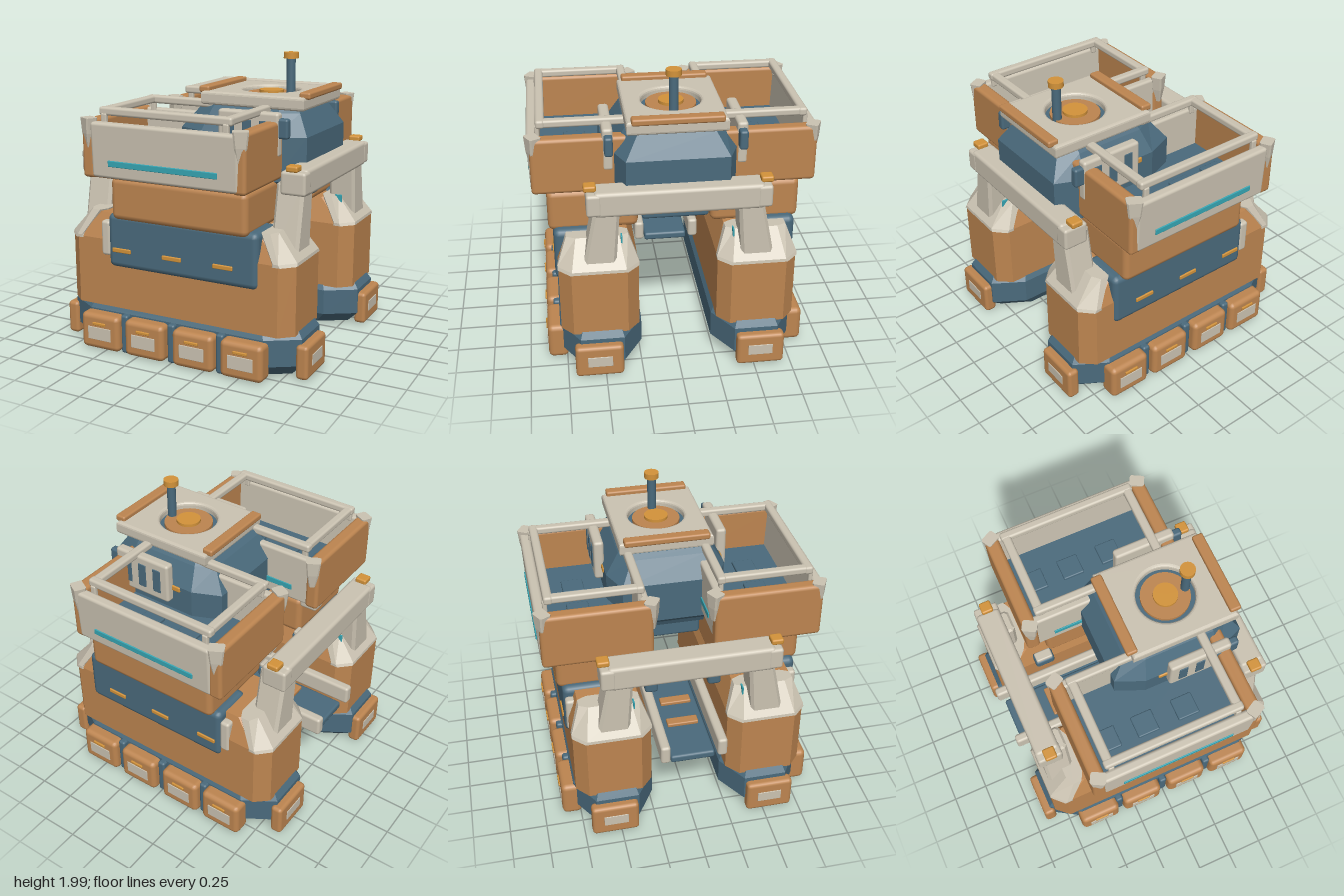
import * as THREE from 'three';
import { RoundedBoxGeometry } from 'three/addons/geometries/RoundedBoxGeometry.js';

const mat = (name, color, flat = false) => {
  const m = new THREE.MeshStandardMaterial({ color });
  m.name = name;
  m.flatShading = flat;
  return m;
};

// Stack of chamfered rectangles: [y, centreX, centreZ, halfX, halfZ, chamferX, chamferZ]
function loft(sections) {
  const pos = [], idx = [];
  for (const [y, cx, cz, hx, hz, a, b] of sections) {
    const ring = [[a - hx, hz], [hx - a, hz], [hx, hz - b], [hx, b - hz],
      [hx - a, -hz], [a - hx, -hz], [-hx, b - hz], [-hx, hz - b]];
    for (const [x, z] of ring) pos.push(cx + x, y, cz + z);
  }
  for (let i = 0; i < sections.length - 1; i++) {
    for (let j = 0; j < 8; j++) {
      const p = i * 8 + j, q = i * 8 + (j + 1) % 8;
      idx.push(p, q, q + 8, p, q + 8, p + 8);
    }
  }
  const t = (sections.length - 1) * 8;
  for (let j = 1; j < 7; j++) idx.push(t, t + j, t + j + 1, 0, j + 1, j);
  const g = new THREE.BufferGeometry();
  g.setAttribute('position', new THREE.Float32BufferAttribute(pos, 3));
  g.setIndex(idx);
  const flat = g.toNonIndexed();
  flat.computeVertexNormals();
  return flat;
}

export function createModel() {
  const root = new THREE.Group();
  root.name = 'twinHullMachine';
  const orange = mat('burntOrange', 0xbd8550);
  const blue = mat('slateBlue', 0x4a6a7c);
  const cream = mat('cream', 0xcbc3b2);
  const amber = mat('amber', 0xd3933a);
  const teal = mat('teal', 0x36a5b3);

  const add = (name, geo, m) => {
    const mesh = new THREE.Mesh(geo, m);
    mesh.name = name;
    root.add(mesh);
    return mesh;
  };
  // Rounded box from its bounds; z bounds are flipped when s = -1
  const box = (name, m, x0, x1, y0, y1, z0, z1, s = 1, r = 0.02) => {
    const w = x1 - x0, h = y1 - y0, d = z1 - z0;
    const rad = Math.min(r, Math.min(w, h, d) * 0.3);
    const mesh = add(name, new RoundedBoxGeometry(w, h, d, 2, rad), m);
    mesh.position.set((x0 + x1) / 2, (y0 + y1) / 2, s * (z0 + z1) / 2);
    return mesh;
  };
  const cyl = (name, m, x, y0, y1, r) => {
    const mesh = add(name, new THREE.CylinderGeometry(r, r, y1 - y0, 32), m);
    mesh.position.set(x, (y0 + y1) / 2, 0);
  };

  for (const s of [1, -1]) {
    // Hull: blue base, orange body
    const hz = s * 0.515;
    add('hullBase', loft([
      [0.02, 0, hz, 0.78, 0.23, 0.2, 0.12], [0.1, 0, hz, 0.86, 0.275, 0.21, 0.13],
      [0.28, 0, hz, 0.86, 0.275, 0.21, 0.13], [0.325, 0, hz, 0.83, 0.25, 0.2, 0.12]]), blue);
    const bz = s * 0.52;
    add('hullBody', loft([
      [0.31, 0, bz, 0.83, 0.26, 0.09, 0.08], [0.78, 0, bz, 0.83, 0.26, 0.09, 0.08],
      [0.95, 0, bz, 0.65, 0.2, 0.07, 0.06]]), orange);

    // Side panel with marker lights and step
    box('sidePanel', blue, -0.49, 0.61, 0.6, 0.97, 0.5, 0.8, s, 0.04);
    for (const x of [-0.38, 0, 0.37]) box('markerLight', amber, x - 0.07, x + 0.07, 0.71, 0.74, 0.79, 0.81, s);
    box('panelHandle', cream, -0.55, -0.48, 0.67, 0.91, 0.72, 0.79, s);

    // Side pods and dividers
    for (const x of [-0.53, -0.185, 0.18, 0.53]) {
      box('sidePod', orange, x - 0.15, x + 0.15, 0.02, 0.27, 0.74, 0.875, s, 0.035);
      box('podPlate', cream, x - 0.09, x + 0.09, 0.09, 0.18, 0.871, 0.88, s);
      box('podLight', amber, x - 0.05, x + 0.05, 0.195, 0.215, 0.87, 0.885, s);
    }
    for (const x of [-0.36, 0, 0.36]) box('podDivider', blue, x - 0.028, x + 0.028, 0.01, 0.28, 0.74, 0.83, s);

    for (const e of [1, -1]) {
      // Hull ends: pods, shoulders, gantry posts
      const span = (a, b) => (e > 0 ? [a, b] : [-b, -a]);
      box('endPod', orange, ...span(0.83, 0.915), 0.02, 0.25, 0.38, 0.7, s, 0.03);
      box('endPodPlate', cream, ...span(0.912, 0.92), 0.1, 0.175, 0.455, 0.62, s);
      add('shoulder', loft([
        [0.77, e * 0.73, bz, 0.106, 0.265, 0.08, 0.08], [0.79, e * 0.725, bz, 0.108, 0.265, 0.09, 0.09],
        [0.96, e * 0.63, bz, 0.06, 0.2, 0.03, 0.06]]), cream);
      add('gantryPost', loft([
        [0.76, e * 0.705, s * 0.52, 0.095, 0.11, 0.02, 0.02],
        [1.23, e * 0.705, s * 0.455, 0.095, 0.08, 0.02, 0.02],
        [1.245, e * 0.705, s * 0.455, 0.08, 0.065, 0.015, 0.015]]), cream);
      box('postStrip', teal, ...span(0.67, 0.72), 0.87, 0.97, 0.36, 0.37, s);
      box('gantryLight', amber, ...span(0.7, 0.78), 1.33, 1.37, 0.52, 0.6, s);
      box('gantryFoot', cream, ...span(0.66, 0.83), 1.18, 1.33, 0.48, 0.6, s).scale.z = 0.8;

      // Bin end walls with corner guards
      box('binEndWall', orange, ...span(0.49, 0.585), 1.23, 1.61, 0.2, 0.92, s, 0.025);
      for (const [z, turn] of [[0.895, 1], [0.205, -1]]) {
        const guard = add('cornerGuard', loft([
          [1.42, 0, 0, 0.02, 0.02, 0.006, 0.006], [1.52, 0, 0, 0.04, 0.035, 0.01, 0.01],
          [1.62, 0, 0, 0.05, 0.04, 0.01, 0.01]]), cream);
        guard.position.set(e * 0.54, 0, s * z);
        guard.rotation.y = e * s * turn * 0.5;
      }
      box('binBracket', cream, ...span(0.43, 0.56), 1.18, 1.25, 0.24, 0.34, s);
    }

    // Cargo bin
    box('binPlinth', orange, -0.44, 0.55, 0.94, 1.225, 0.24, 0.83, s, 0.04);
    box('binFloor', orange, -0.52, 0.52, 1.23, 1.3, 0.24, 0.9, s);
    box('binFloorPanel', blue, -0.5, 0.5, 1.3, 1.309, 0.26, 0.88, s);
    for (const x of [-0.36, -0.09, 0.2]) box('floorHatch', blue, x - 0.075, x + 0.075, 1.3, 1.33, 0.545, 0.695, s);
    box('binOuterWall', cream, -0.51, 0.54, 1.24, 1.6, 0.86, 0.93, s, 0.03).rotation.x = s * 0.04;
    box('binInnerWall', cream, -0.51, 0.52, 1.24, 1.6, 0.21, 0.27, s, 0.025);
    box('outerStrip', teal, -0.38, 0.4, 1.32, 1.36, 0.92, 0.935, s);
    box('innerStrip', teal, -0.38, 0.4, 1.32, 1.36, 0.202, 0.211, s);

    // Rail frame above the bin
    for (const z of [0.235, 0.815]) box('longRail', cream, -0.48, 0.47, 1.635, 1.69, z, z + 0.058, s);
    for (const x of [-0.475, 0.405]) box('crossRail', cream, x, x + 0.06, 1.637, 1.688, 0.24, 0.87, s);
    for (const x of [-0.44, 0.43]) {
      for (const z of [0.25, 0.85]) box('railStub', cream, x - 0.02, x + 0.02, 1.57, 1.65, z, z + 0.03, s);
    }

    // Slotted screen beside the cab
    box('cabScreen', cream, 0.16, 0.59, 1.38, 1.665, 0.395, 0.465, s);
    box('screenBracket', blue, 0.57, 0.65, 1.5, 1.63, 0.4, 0.455, s);
    for (const x of [0.25, 0.37, 0.49]) box('screenSlot', blue, x - 0.03, x + 0.03, 1.44, 1.61, 0.462, 0.471, s);
    box('screenClip', amber, 0.1, 0.17, 1.46, 1.5, 0.39, 0.42, s);

    // Gangway rails and hull brackets
    box('gangwayRail', cream, -0.9, 0.1, 0.565, 0.7, 0.16, 0.225, s);
    box('hullBracket', blue, -0.56, -0.42, 0.9, 0.98, 0.17, 0.26, s);
    box('bracketCap', cream, -0.55, -0.43, 0.965, 1.0, 0.18, 0.25, s);
  }

  // Gantry beams joining both hulls
  for (const e of [1, -1]) box('gantryBeam', cream, e * 0.745 - 0.082, e * 0.745 + 0.082, 1.17, 1.34, -0.54, 0.54, 1, 0.025);

  // Gangway deck
  box('gangwayDeck', blue, -0.86, 0.05, 0.525, 0.58, -0.15, 0.15);
  for (const x of [-0.53, -0.3]) box('gangwayTread', orange, x - 0.035, x + 0.035, 0.575, 0.605, -0.108, 0.108);

  // Cab
  add('cabBody', loft([
    [1.13, 0.28, 0, 0.4, 0.35, 0.15, 0.08], [1.17, 0.28, 0, 0.42, 0.36, 0.17, 0.08],
    [1.21, 0.275, 0, 0.455, 0.41, 0.19, 0.08], [1.5, 0.275, 0, 0.455, 0.41, 0.19, 0.08],
    [1.64, 0.285, 0, 0.36, 0.32, 0.12, 0.07], [1.67, 0.29, 0, 0.33, 0.29, 0.1, 0.06]]), blue);
  box('cabUnderside', blue, -0.1, 0.6, 1.015, 1.15, -0.22, 0.22);

  // Roof slab with round opening
  const roof = new THREE.Shape();
  const hx = 0.35, hz = 0.3;
  roof.moveTo(-hx, -hz).lineTo(hx, -hz).lineTo(hx, hz).lineTo(-hx, hz).closePath();
  roof.holes.push(new THREE.Path().absarc(0, 0, 0.215, 0, Math.PI * 2, true));
  const roofGeo = new THREE.ExtrudeGeometry(roof, {
    depth: 0.05, bevelThickness: 0.02, bevelSize: 0.02, bevelSegments: 3, curveSegments: 32 });
  roofGeo.rotateX(-Math.PI / 2);
  add('roofSlab', roofGeo, cream).position.set(0.33, 1.68, 0);
  cyl('hatchWell', blue, 0.33, 1.62, 1.7, 0.21);
  cyl('hatchDisc', orange, 0.33, 1.69, 1.725, 0.165);
  cyl('hatchCentre', amber, 0.33, 1.72, 1.745, 0.082);
  for (const x of [-0.033, 0.69]) box('roofBar', orange, x - 0.038, x + 0.038, 1.735, 1.78, -0.29, 0.29);

  // Mast
  cyl('mast', blue, 0.47, 1.68, 1.97, 0.03);
  cyl('mastCap', amber, 0.47, 1.96, 2.0, 0.05);
  return root;
}
